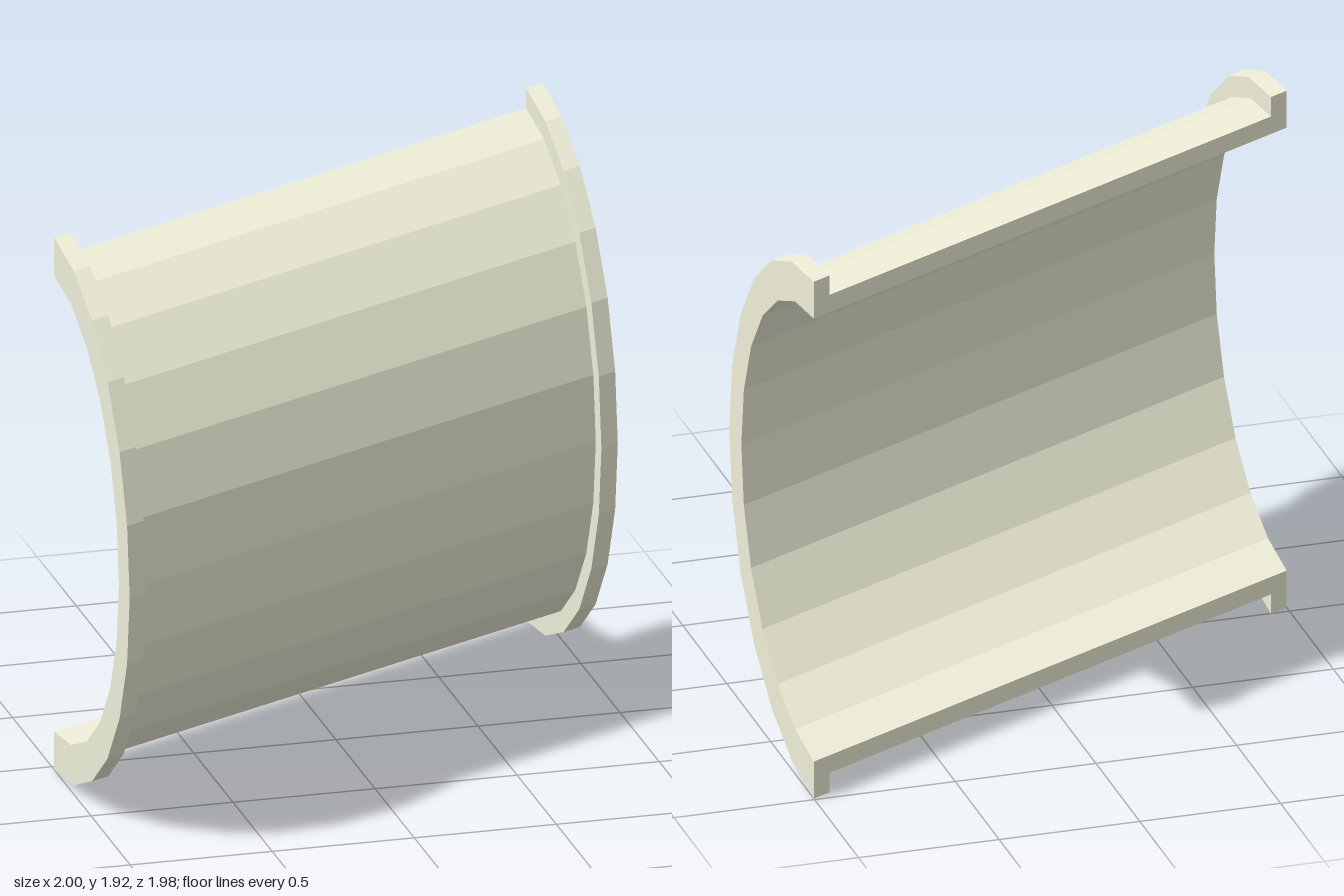
import * as THREE from 'three';

const OUTER = 0.9625, BODY = 0.89, INNER = 0.825; // radii
const END = 1, LIP = 0.933;                       // axial positions
const SLOPE = -0.511, BACK = -0.48;               // skew of the tube in plan

// Cross-section of the wall as [axial, radius], counter-clockwise round the axis
const profile = [
  [-END, INNER], [-END, OUTER], [-LIP, OUTER], [-LIP, BODY],
  [LIP, BODY], [LIP, OUTER], [END, OUTER], [END, INNER],
];

// Skew along x and lift to the ground
function place(geometry) {
  const p = geometry.attributes.position;
  for (let i = 0; i < p.count; i++) {
    p.setZ(i, p.getZ(i) + SLOPE * p.getX(i) + BACK);
    p.setY(i, p.getY(i) + OUTER);
  }
  geometry.computeVertexNormals();
  return geometry;
}

export function createModel() {
  const group = new THREE.Group();
  group.name = 'skewedHalfPipe';
  const material = new THREE.MeshStandardMaterial({ color: 0xf0f0da, flatShading: true });
  const add = (name, geometry) => {
    const mesh = new THREE.Mesh(place(geometry), material);
    mesh.name = name;
    group.add(mesh);
  };

  // Half-round shell with a flange at each end, its axis turned onto x
  const loop = [...profile, profile[0]].map(([a, r]) => new THREE.Vector2(r, a));
  const shell = new THREE.LatheGeometry(loop, 12, 0, Math.PI);
  const p = shell.attributes.position;
  for (let i = 0; i < p.count; i++) p.setXYZ(i, p.getY(i), p.getZ(i), p.getX(i));
  add('flangedShell', shell);

  // Flat faces closing the wall along the two cut edges
  const section = new THREE.Shape(profile.map(([a, r]) => new THREE.Vector2(a, r)));
  add('upperCutFace', new THREE.ShapeGeometry(section).rotateY(Math.PI));
  add('lowerCutFace', new THREE.ShapeGeometry(section).rotateX(Math.PI));

  return group;
}
